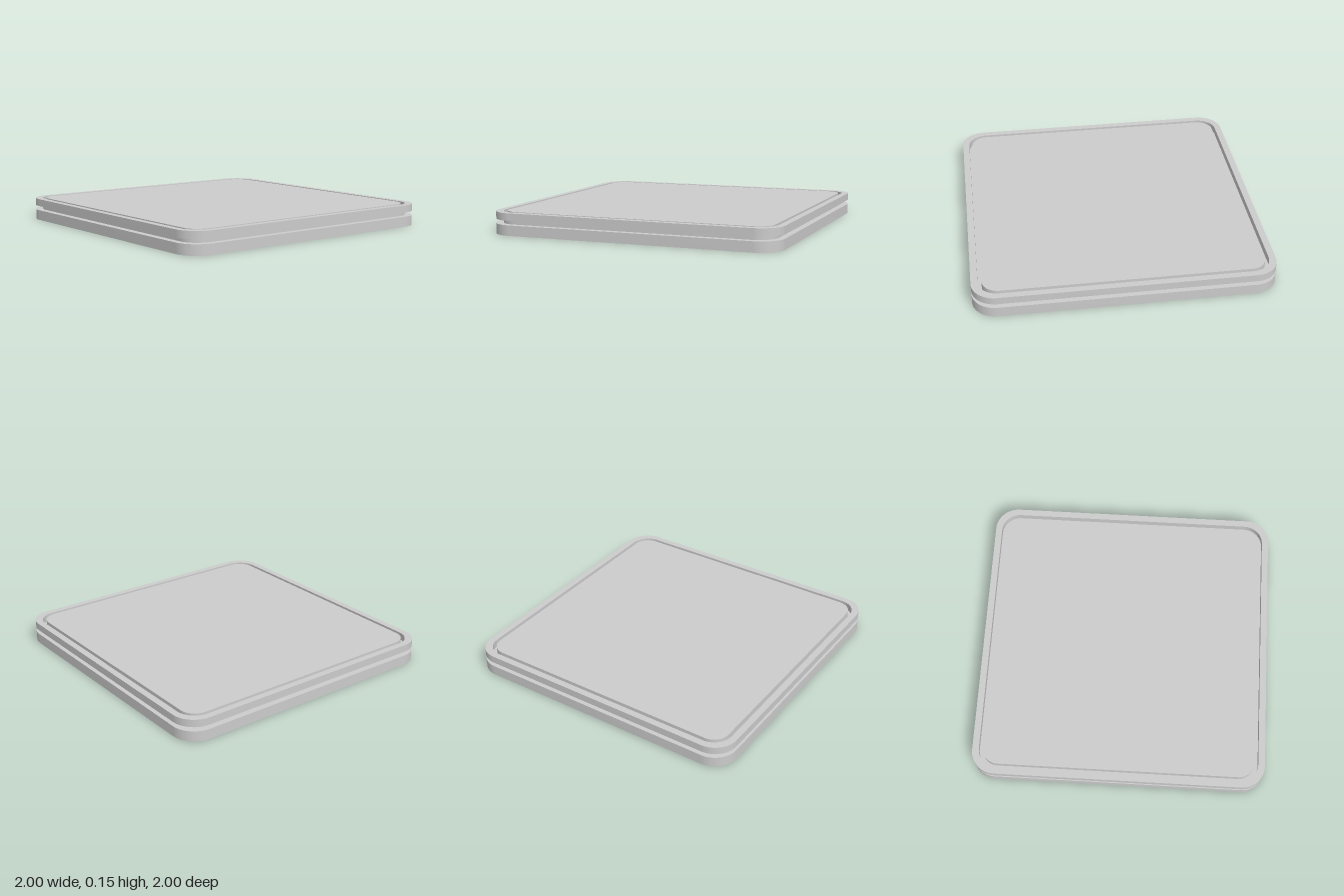
import * as THREE from 'three';
import { toCreasedNormals } from 'three/addons/utils/BufferGeometryUtils.js';

const material = new THREE.MeshStandardMaterial({ color: 0xcccccc });

// Square outline with rounded corners; h is the half width, r the corner radius.
function roundedSquare(h, r, Type = THREE.Shape) {
  const s = new Type();
  const c = h - r;
  s.absarc(c, c, r, 0, Math.PI / 2);
  s.absarc(-c, c, r, Math.PI / 2, Math.PI);
  s.absarc(-c, -c, r, Math.PI, Math.PI * 1.5);
  s.absarc(c, -c, r, Math.PI * 1.5, Math.PI * 2);
  s.closePath();
  return s;
}

// Flat plate lying between heights y0 and y1.
function plate(name, shape, y0, y1) {
  const extruded = new THREE.ExtrudeGeometry(shape, { depth: y1 - y0, bevelEnabled: false, curveSegments: 12 });
  extruded.rotateX(-Math.PI / 2).translate(0, y0, 0);
  const mesh = new THREE.Mesh(toCreasedNormals(extruded, 0.6), material);
  mesh.name = name;
  return mesh;
}

export function createModel() {
  const group = new THREE.Group();
  group.name = 'squarePlatform';

  // Rim around the top, open in the middle
  const rim = roundedSquare(1, 0.16);
  rim.holes.push(roundedSquare(0.955, 0.13, THREE.Path));

  group.add(
    plate('base', roundedSquare(1, 0.16), 0, 0.07),
    // Recessed core: side channel outside, floor of the top groove inside
    plate('core', roundedSquare(0.955, 0.13), 0.07, 0.1),
    plate('topRim', rim, 0.1, 0.15),
    plate('topPanel', roundedSquare(0.93, 0.11), 0.1, 0.15)
  );
  return group;
}
